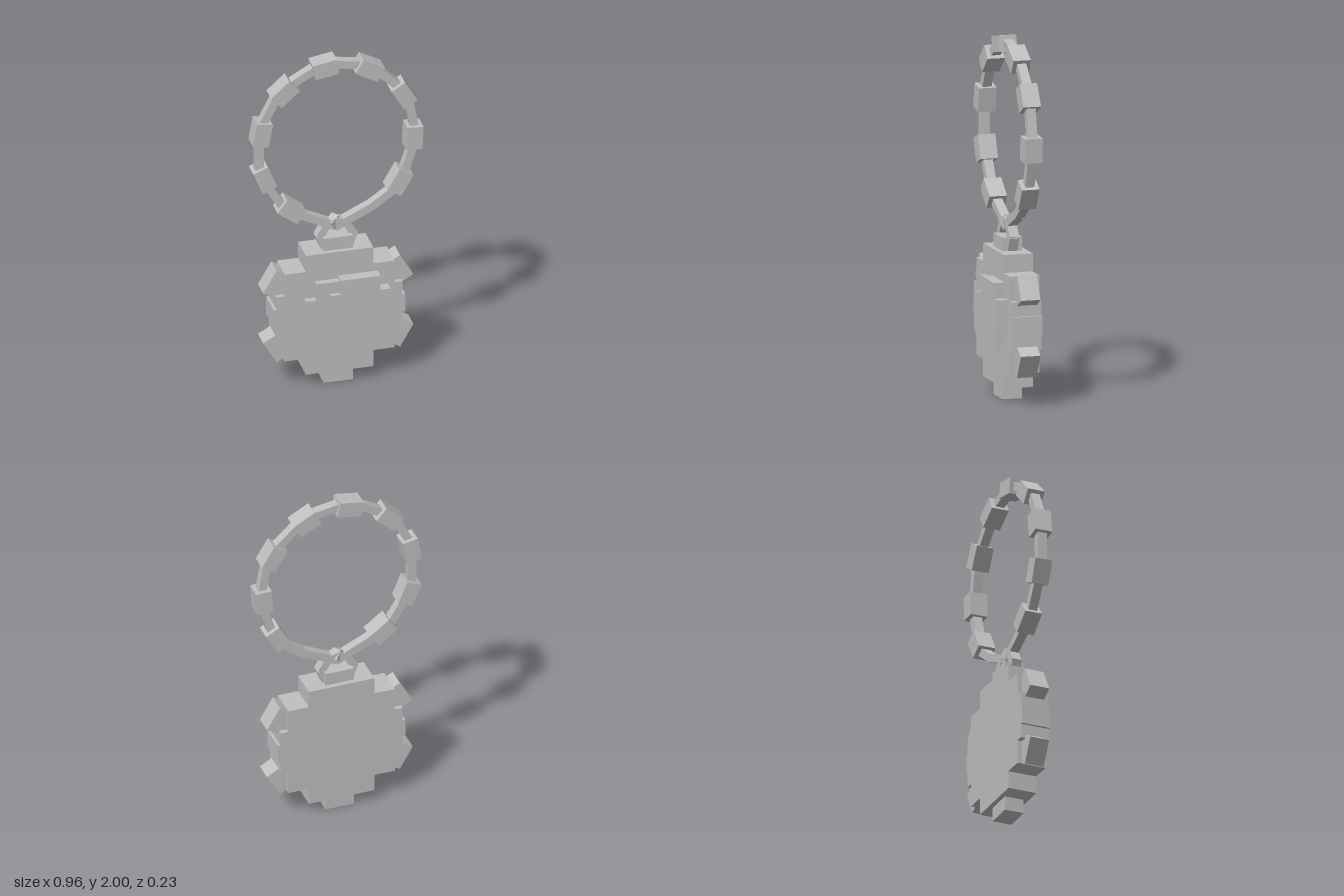
import * as THREE from 'three';

const Z = -0.03; // mid-plane of pendant and chain

export function createModel() {
  const model = new THREE.Group();
  const stone = new THREE.MeshStandardMaterial({ color: 0xc0c0c0 });
  stone.name = 'light grey';

  const add = (name, geometry, x, y, z, angle = 0, parent = model) => {
    const mesh = new THREE.Mesh(geometry, stone);
    mesh.name = name;
    mesh.position.set(x, y, z);
    mesh.rotation.z = angle;
    parent.add(mesh);
    return mesh;
  };

  // Stepped disc: steps are [halfWidth, halfHeight], from tallest to widest
  const steppedDisc = (name, steps, x, y, z0, z1) => {
    const quarter = [];
    steps.forEach(([w, h], i) => {
      if (i > 0) quarter.push([steps[i - 1][0], h]);
      quarter.push([w, h]);
    });
    const flip = (sx, sy) => quarter.map(([w, h]) => new THREE.Vector2(sx * w, sy * h));
    const outline = [
      ...flip(1, 1), ...flip(1, -1).reverse(),
      ...flip(-1, -1), ...flip(-1, 1).reverse(),
    ];
    const geometry = new THREE.ExtrudeGeometry(new THREE.Shape(outline), { depth: z1 - z0, bevelEnabled: false });
    add(name, geometry, x, y, z0);
  };

  // Square bar between two points
  const bar = (name, a, b, thick, depth, parent) => {
    const dx = b[0] - a[0], dy = b[1] - a[1];
    const geometry = new THREE.BoxGeometry(Math.hypot(dx, dy) + 0.015, thick, depth);
    add(name, geometry, (a[0] + b[0]) / 2, (a[1] + b[1]) / 2, Z, Math.atan2(dy, dx), parent);
  };

  // Pendant body and the two offset front plates
  steppedDisc('pendantBody', [[0.19, 0.37], [0.31, 0.27], [0.355, 0.135], [0.37, 0.055]], 0, 0.45, -0.113, 0.053);
  steppedDisc('lowerFrontPlate', [[0.14, 0.205], [0.2, 0.105]], 0, 0.45, 0.05, 0.09);
  steppedDisc('upperFrontPlate', [[0.112, 0.175], [0.167, 0.088]], 0.103, 0.497, 0.052, 0.115);

  // Pegs above and below, tilted studs at the corners
  add('topPeg', new THREE.BoxGeometry(0.165, 0.1, 0.112), 0, 0.845, Z);
  add('bottomPeg', new THREE.BoxGeometry(0.165, 0.1, 0.112), 0, 0.05, Z);
  for (const sx of [-1, 1]) {
    for (const sy of [-1, 1]) {
      add('cornerStud', new THREE.BoxGeometry(0.12, 0.15, 0.112),
        sx * 0.334, 0.45 + sy * 0.19, Z, sx * sy * Math.PI / 6);
    }
  }

  // Bail: a loop of short bars joining pendant and chain
  const bail = new THREE.Group();
  bail.name = 'bail';
  model.add(bail);
  const half = [[0.07, 0.83], [0.094, 0.895], [0.058, 0.955], [0, 0.975]];
  for (const s of [-1, 1]) {
    for (let i = 0; i < half.length - 1; i++) {
      bar('bailBar', [s * half[i][0], half[i][1]], [s * half[i + 1][0], half[i + 1][1]], 0.045, 0.055, bail);
    }
  }
  const knot = add('bailKnot', new THREE.BoxGeometry(0.06, 0.06, 0.05), -0.01, 0.968, Z, 0.6, bail);
  knot.rotation.y = 0.5;

  // Chain: thick links [x, y, angle in degrees] clockwise from lower left
  const chain = new THREE.Group();
  chain.name = 'chain';
  model.add(chain);
  const links = [
    [-0.259, 1.082, 143], [-0.41, 1.302, 112], [-0.423, 1.582, 80],
    [-0.296, 1.82, 42], [-0.066, 1.942, 10], [0.183, 1.9, -29],
    [0.376, 1.717, -59], [0.434, 1.444, -93], [0.352, 1.18, -120],
  ];
  const path = [[0.0, 0.945]];
  for (const [x, y, degrees] of links) {
    const angle = THREE.MathUtils.degToRad(degrees);
    add('thickLink', new THREE.BoxGeometry(0.138, 0.09, 0.1), x, y, Z, angle, chain);
    const dx = 0.065 * Math.cos(angle), dy = 0.065 * Math.sin(angle);
    path.push([x - dx, y - dy], [x + dx, y + dy]);
  }
  path.push([0.2, 1.04], [0.0, 0.945]);

  // Thin bars bridge the gaps between thick links
  for (let i = 0; i < path.length - 1; i++) {
    const insideLink = i % 2 === 1 && i < 2 * links.length;
    if (!insideLink) bar('thinLink', path[i], path[i + 1], 0.046, 0.052, chain);
  }
  return model;
}
